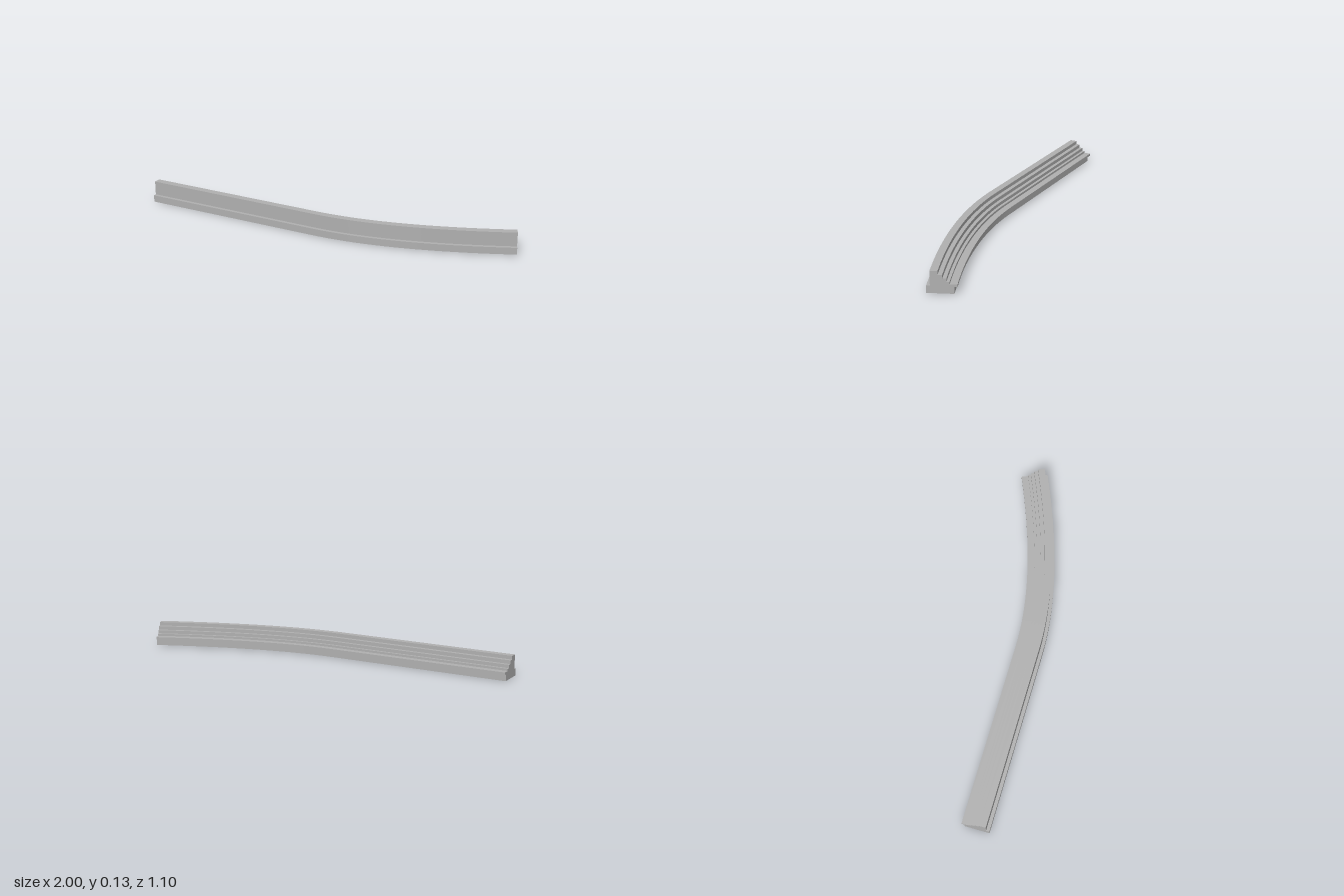
import * as THREE from 'three';

// Cross-section, counter-clockwise: [distance from the back edge, height]
const SECTION = [
  [0.016, 0], [0.157, 0], [0.157, 0.04], [0.138, 0.04], [0.138, 0.121],
  [0.098, 0.121], [0.098, 0.101], [0.075, 0.101], [0.075, 0.081],
  [0.055, 0.081], [0.055, 0.063], [0.039, 0.063], [0.039, 0.051],
  [0, 0.051], [0, 0.038], [0.016, 0.038],
];

// Stations along the back edge in plan: a straight run, then a bend
function stations() {
  const start = new THREE.Vector2(-1, 0.397), knee = new THREE.Vector2(0, 0.043);
  const bend = new THREE.QuadraticBezierCurve(
    knee, new THREE.Vector2(0.404, -0.1), new THREE.Vector2(0.892, -0.552));
  const list = [{ p: start, t: knee.clone().sub(start).normalize() }];
  const steps = 28;
  for (let i = 0; i <= steps; i++) {
    list.push({ p: bend.getPoint(i / steps), t: bend.getTangent(i / steps) });
  }
  return list;
}

// Place a section point at a station; the run rises very slightly to the right
function place({ p, t }, [u, y]) {
  return [p.x - t.y * u, y + 0.003 * (p.x + 1), p.y + t.x * u];
}

function geometry(points, index) {
  const g = new THREE.BufferGeometry();
  g.setAttribute('position', new THREE.Float32BufferAttribute(points.flat(), 3));
  g.setIndex(index);
  g.computeVertexNormals();
  return g;
}

// One long face, smooth along the bend and sharp at its edges
function strip(path, a, b) {
  const points = [], index = [];
  path.forEach((s, i) => {
    points.push(place(s, a), place(s, b));
    if (i) {
      const k = 2 * (i - 1);
      index.push(k, k + 2, k + 1, k + 1, k + 2, k + 3);
    }
  });
  return geometry(points, index);
}

function cap(station, flip) {
  const outline = SECTION.map(([u, y]) => new THREE.Vector2(u, y));
  const faces = THREE.ShapeUtils.triangulateShape(outline, []);
  const index = faces.flatMap(([a, b, c]) => (flip ? [a, c, b] : [a, b, c]));
  return geometry(SECTION.map((q) => place(station, q)), index);
}

export function createModel() {
  const model = new THREE.Group();
  model.name = 'curvedSteppedWall';
  const concrete = new THREE.MeshStandardMaterial({ color: 0xb0b0b0 });
  concrete.name = 'concrete grey';
  const path = stations();

  const add = (parent, name, geo) => {
    const mesh = new THREE.Mesh(geo, concrete);
    mesh.name = name;
    parent.add(mesh);
  };

  // Long faces: underside, plinth, front wall, top, steps and rear ledge
  const names = ['underside', 'plinthFront', 'plinthTop', 'frontWall', 'wallTop',
    'riser1', 'step1', 'riser2', 'step2', 'riser3', 'step3', 'riser4',
    'rearLedgeTop', 'rearLedgeEdge', 'rearLedgeUnderside', 'rearWall'];
  names.forEach((name, i) => {
    add(model, name, strip(path, SECTION[i], SECTION[(i + 1) % SECTION.length]));
  });

  // Cut ends
  add(model, 'rightEnd', cap(path[0], false));
  add(model, 'leftEnd', cap(path[path.length - 1], true));
  return model;
}
